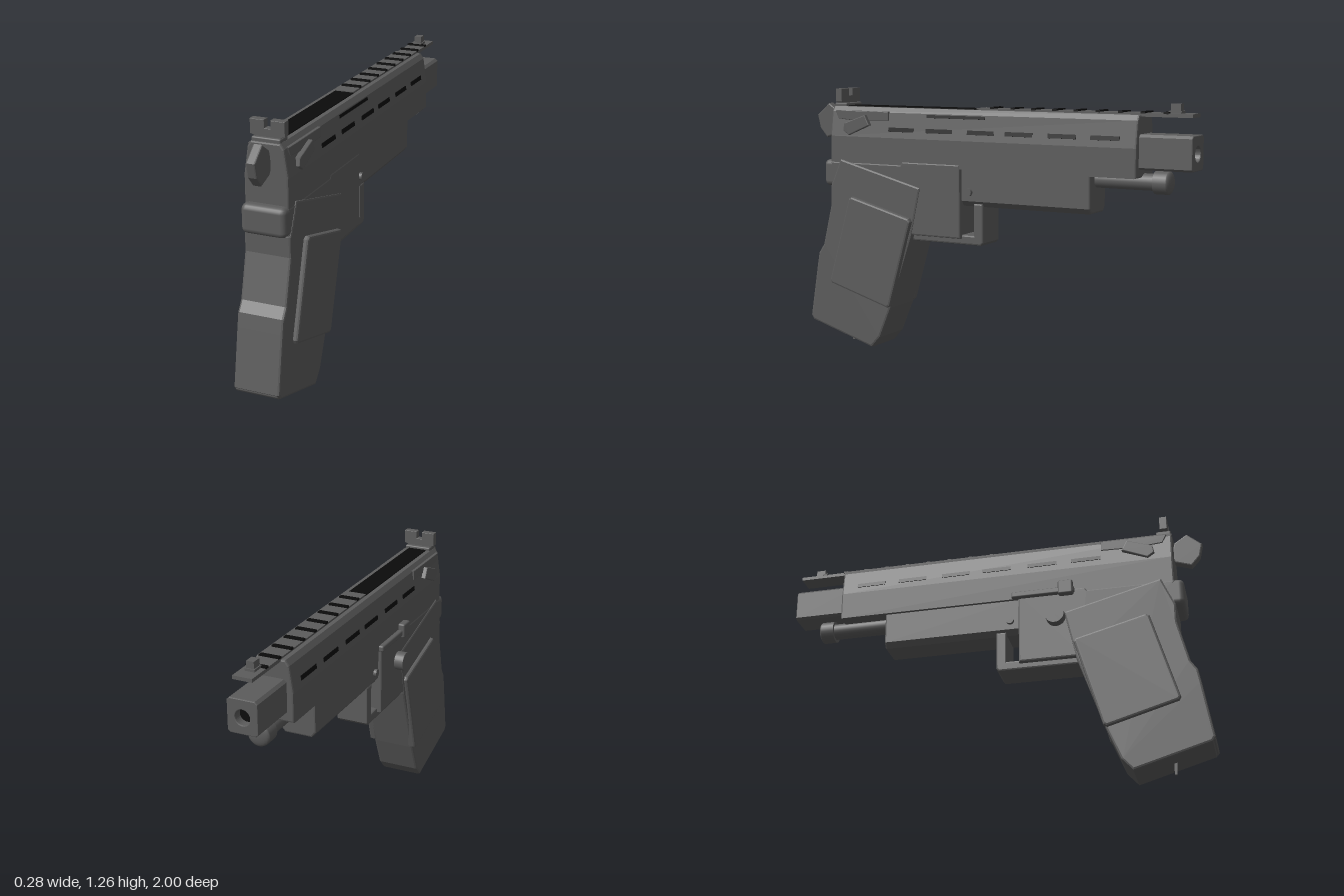
import * as THREE from 'three';
import { RoundedBoxGeometry } from 'three/addons/geometries/RoundedBoxGeometry.js';

const CX = 0.01; // centre plane of the body

export function createModel() {
  const group = new THREE.Group();
  const grey = new THREE.MeshStandardMaterial({ color: 0x5c5c5c });
  grey.name = 'gunmetal grey';
  const black = new THREE.MeshStandardMaterial({ color: 0x0b0b0b });
  black.name = 'slot black';

  const add = (name, geometry, x, y, z, material = grey) => {
    const mesh = new THREE.Mesh(geometry, material);
    mesh.name = name;
    mesh.position.set(x, y, z);
    group.add(mesh);
    return mesh;
  };
  const box = (name, w, h, d, x, y, z, material) =>
    add(name, new THREE.BoxGeometry(w, h, d), x, y, z, material);
  const rounded = (name, w, h, d, x, y, z, r = 0.012) =>
    add(name, new RoundedBoxGeometry(w, h, d, 2, r), x, y, z);
  const shapeOf = (points) => new THREE.Shape(points.map(([a, b]) => new THREE.Vector2(a, b)));
  const extrude = (shape, depth, bevel) => new THREE.ExtrudeGeometry(shape, {
    depth: depth - 2 * bevel, bevelEnabled: bevel > 0, bevelSize: bevel,
    bevelThickness: bevel, bevelOffset: -bevel, bevelSegments: 2, curveSegments: 16,
  }).translate(0, 0, bevel - depth / 2);

  // Side outline given as (z, y), extruded across x
  const side = (name, points, width, x, bevel = 0.01) =>
    add(name, extrude(shapeOf(points), width, bevel).rotateY(-Math.PI / 2), x, 0, 0);
  // Section given as (x, y), extruded from z0 to z1
  const section = (name, shape, z0, z1, bevel = 0.008) =>
    add(name, extrude(shape, z1 - z0, bevel), CX, 0, (z0 + z1) / 2);
  const rod = (name, r, length, axis, x, y, z, material) => {
    const g = new THREE.CylinderGeometry(r, r, length, 24);
    if (axis === 'x') g.rotateZ(Math.PI / 2); else g.rotateX(Math.PI / 2);
    return add(name, g, x, y, z, material);
  };

  // Slide with tapered upper flanks
  section('slide', shapeOf([
    [-0.1, 0.908], [0.1, 0.908], [0.1, 1.04], [0.082, 1.16], [0.066, 1.184],
    [-0.066, 1.184], [-0.082, 1.16], [-0.1, 1.04],
  ]), -0.755, 0.865);

  // Slots lying on the sloping flanks
  const lean = Math.atan2(0.018, 0.12);
  const slot = (name, s, y, z, h, length) => {
    const x = CX + s * (0.1 - (y - 1.04) * 0.15);
    box(name, 0.006, h, length, x, y, z, black).rotation.z = s * lean;
  };
  for (const s of [-1, 1]) {
    for (const z of [0.457, 0.247, 0.022, -0.177, -0.395, -0.605]) slot('sideSlot', s, 1.08, z, 0.02, 0.14);
  }
  slot('upperSlot', 1, 1.148, 0.16, 0.014, 0.315);

  // Barrel with an open bore
  const barrel = shapeOf([
    [-0.07, 0.955], [-0.058, 0.945], [0.058, 0.945], [0.07, 0.955],
    [0.07, 1.088], [0.058, 1.1], [-0.058, 1.1], [-0.07, 1.088],
  ]);
  barrel.holes.push(new THREE.Path().absarc(0, 1.02, 0.034, 0, Math.PI * 2, true));
  section('barrel', barrel, -1, -0.7, 0.004);
  rod('bore', 0.036, 0.02, 'z', CX, 1.02, -0.95, black);

  // Sight rail, its cross stripes and the dark rear panel
  box('topRail', 0.09, 0.016, 1.06, CX, 1.184, -0.46);
  for (let i = 0; i < 9; i++) box('railStripe', 0.092, 0.009, 0.022, CX, 1.194, -0.013 - i * 0.1068, black);
  box('topPanel', 0.09, 0.006, 0.73, CX, 1.185, 0.425, black);

  // Sights
  box('frontSightBase', 0.045, 0.012, 0.06, CX, 1.197, -0.9);
  box('frontSight', 0.035, 0.04, 0.045, CX, 1.214, -0.902);
  rounded('rearSightBase', 0.13, 0.025, 0.07, CX, 1.188, 0.825, 0.006);
  section('rearSight', shapeOf([
    [-0.078, 1.207], [-0.05, 1.198], [0.05, 1.198], [0.078, 1.207], [0.078, 1.27],
    [0.014, 1.27], [0.014, 1.235], [-0.014, 1.235], [-0.014, 1.27], [-0.078, 1.27],
  ]), 0.81, 0.845, 0.002);

  // Hammer
  side('hammer', [[1, 1.135], [0.93, 1.195], [0.87, 1.155], [0.85, 1.08], [0.87, 1.05], [0.945, 1.025], [0.985, 1.07]],
    0.042, CX, 0.006);

  // Levers on both flanks of the slide
  for (const s of [-1, 1]) {
    side('leverPlate', [[0.84, 1.165], [0.53, 1.165], [0.53, 1.12], [0.7, 1.115], [0.82, 1.125]],
      0.02, CX + s * 0.082, 0.003).rotation.z = 0;
    side('thumbLever', [[0.775, 1.105], [0.655, 1.147], [0.63, 1.098], [0.75, 1.047], [0.782, 1.07]],
      0.04, CX + s * 0.092, 0.004);
  }

  // Frame and rear tang
  side('frame', [
    [0.865, 0.915], [0.46, 0.915], [0.45, 0.93], [0.13, 0.93], [0.13, 0.58], [0.42, 0.58], [0.6, 0.68], [0.865, 0.72],
  ], 0.204, CX, 0.008);
  rounded('rearTang', 0.205, 0.13, 0.085, CX, 0.857, 0.865, 0.025);

  // Fore body and guide rod beneath the slide
  section('foreBody', shapeOf([
    [-0.085, 0.76], [-0.065, 0.735], [0.065, 0.735], [0.085, 0.76], [0.085, 0.912], [-0.085, 0.912],
  ]), -0.53, 0.135);
  rod('guideRod', 0.038, 0.34, 'z', CX, 0.888, -0.67);
  const knob = rod('guideRodKnob', 0.052, 0.06, 'z', CX, 0.888, -0.84);
  knob.scale.z = 1;
  const cap = add('guideRodCap', new THREE.SphereGeometry(0.052, 20, 12), CX, 0.888, -0.87);
  cap.scale.z = 0.35;

  // Trigger guard
  side('triggerGuard', [
    [0.45, 0.552], [0.03, 0.552], [0.018, 0.565], [0.018, 0.75], [0.068, 0.75], [0.068, 0.598], [0.45, 0.598],
  ], 0.16, CX, 0.008);

  // Grip
  side('grip', [
    [0.805, 0.93], [0.345, 0.81], [0.4, 0.565], [0.52, 0.215], [0.585, 0.06], [0.635, 0.005], [0.985, 0.108],
    [1, 0.13], [0.957, 0.39], [0.945, 0.455], [0.915, 0.5], [0.866, 0.7], [0.866, 0.79],
  ], 0.214, CX, 0.01);
  side('baseTab', [[0.82, 0.07], [0.805, 0.07], [0.805, 0.005], [0.815, 0.005]], 0.015, CX, 0);
  rounded('baseLip', 0.2, 0.03, 0.03, CX, 0.13, 0.983, 0.008);

  // Grip panels
  for (const s of [-1, 1]) {
    side('gripPanel', [
      [0.745, 0.738], [0.728, 0.748], [0.4, 0.661], [0.391, 0.645], [0.513, 0.225], [0.53, 0.216], [0.855, 0.31], [0.863, 0.326],
    ], 0.04, 0.0125 + s * 0.1075, 0.01);
  }

  // Left-hand controls and the cross pin
  rod('releaseButton', 0.045, 0.045, 'x', -0.1185, 0.785, 0.31);
  rounded('slideLever', 0.03, 0.03, 0.3, -0.098, 0.92, 0.25, 0.008);
  rounded('slideLeverPad', 0.035, 0.07, 0.07, -0.105, 0.93, 0.36, 0.008);
  rod('crossPin', 0.018, 0.2, 'x', CX, 0.802, 0.088);

  return group;
}
